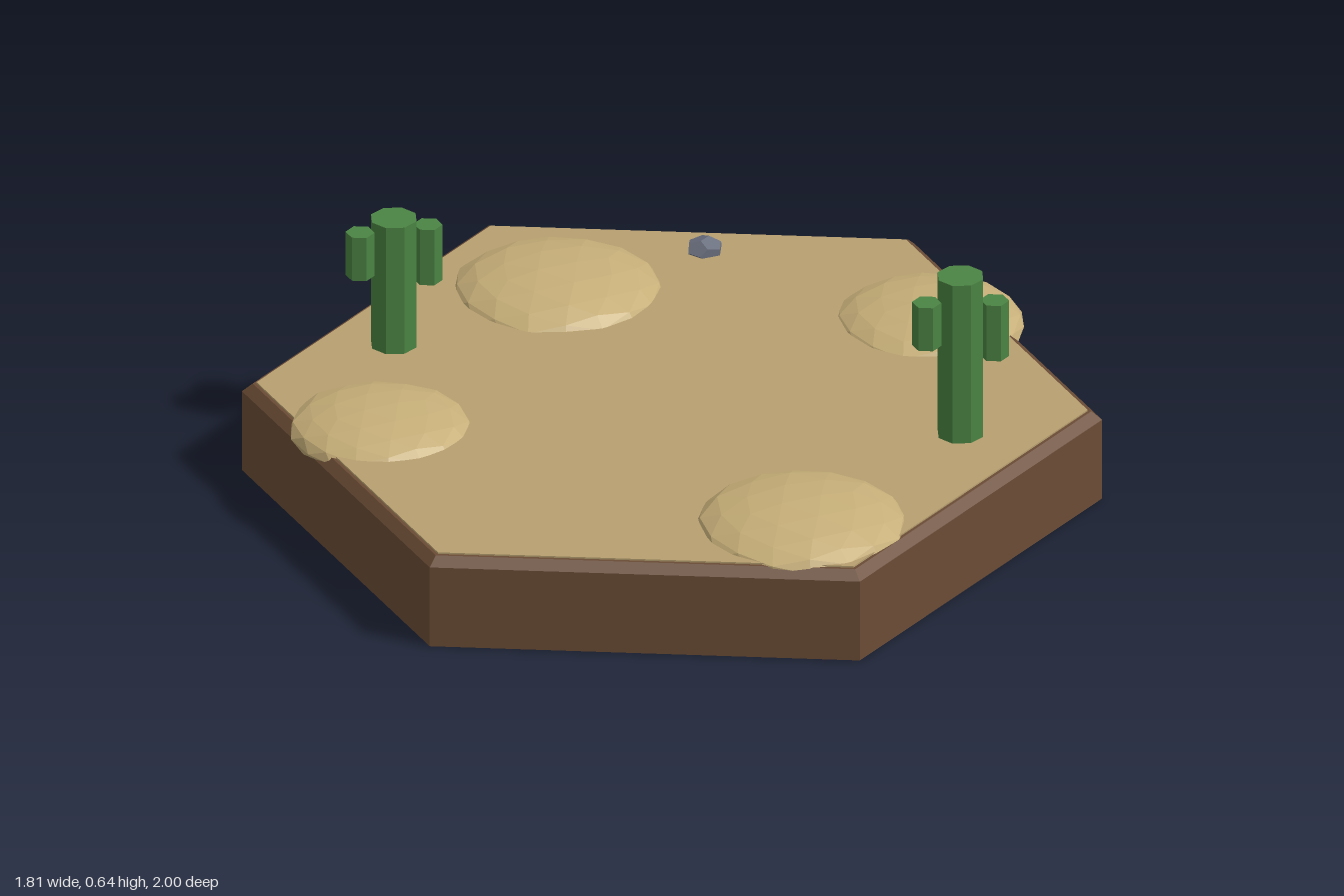
import * as THREE from 'three';

const flat = (name, color) => {
  const m = new THREE.MeshStandardMaterial({ color, flatShading: true });
  m.name = name;
  return m;
};

export function createModel() {
  const earth = flat('earth brown', 0x6b4c35);
  const sand = flat('sand', 0xb8a070);
  const duneSand = flat('dune sand', 0xc6ae78);
  const green = flat('cactus green', 0x4b8443);
  const stone = flat('stone grey', 0x6b7080);

  const model = new THREE.Group();
  model.name = 'desertTile';

  const add = (parent, name, geometry, material, x, y, z) => {
    const mesh = new THREE.Mesh(geometry, material);
    mesh.name = name;
    mesh.position.set(x, y, z);
    parent.add(mesh);
    return mesh;
  };
  // Upright prism between two heights
  const prism = (parent, name, material, sides, rTop, rBottom, y0, y1, x, z, open = false) =>
    add(parent, name, new THREE.CylinderGeometry(rTop, rBottom, y1 - y0, sides, 1, open),
      material, x, (y0 + y1) / 2, z);

  // Hexagonal earth block with a bevelled rim and a thin sand cover
  const cx = -0.027;
  prism(model, 'earthBlock', earth, 6, 1, 1, 0, 0.205, cx, 0);
  prism(model, 'bevelledRim', earth, 6, 0.975, 1, 0.205, 0.226, cx, 0);
  prism(model, 'sandCover', sand, 6, 0.966, 0.966, 0.224, 0.23, cx, 0);

  // Flattened, slightly uneven dunes: x, z, radius, half height
  const dunes = [
    [-0.022, -0.62, 0.248, 0.072],
    [-0.032, 0.70, 0.25, 0.072],
    [-0.693, -0.172, 0.215, 0.06],
    [0.688, -0.108, 0.221, 0.062],
  ];
  dunes.forEach(([x, z, r, h], i) => {
    const geometry = new THREE.IcosahedronGeometry(1, 2);
    const p = geometry.attributes.position;
    const v = new THREE.Vector3();
    for (let k = 0; k < p.count; k++) {
      v.fromBufferAttribute(p, k);
      const bump = Math.sin(v.x * 7 + i * 2) * Math.sin(v.y * 6 + i) * Math.cos(v.z * 8 - i);
      v.multiplyScalar(1 + 0.025 * bump);
      p.setXYZ(k, v.x, v.y, v.z);
    }
    geometry.scale(r, h, r);
    geometry.computeVertexNormals();
    add(model, 'dune', geometry, duneSand, x, 0.213, z);
  });

  // Cacti with a trunk and two short upright arms
  const cactus = (x, z, top, leftArm, rightArm) => {
    const group = new THREE.Group();
    group.name = 'cactus';
    prism(group, 'trunk', green, 8, 0.056, 0.056, 0.22, top, x, z);
    prism(group, 'arm', green, 6, 0.034, 0.034, ...leftArm, x - 0.087, z);
    prism(group, 'arm', green, 6, 0.034, 0.034, ...rightArm, x + 0.088, z);
    model.add(group);
  };
  cactus(-0.492, -0.52, 0.558, [0.428, 0.54], [0.378, 0.522]);
  cactus(0.492, 0.463, 0.64, [0.478, 0.59], [0.413, 0.557]);

  // Small faceted rock
  const rock = add(model, 'rock', new THREE.DodecahedronGeometry(0.046, 0), stone, 0.365, 0.235, -0.635);
  rock.scale.y = 0.62;
  rock.rotation.y = 0.5;

  return model;
}
